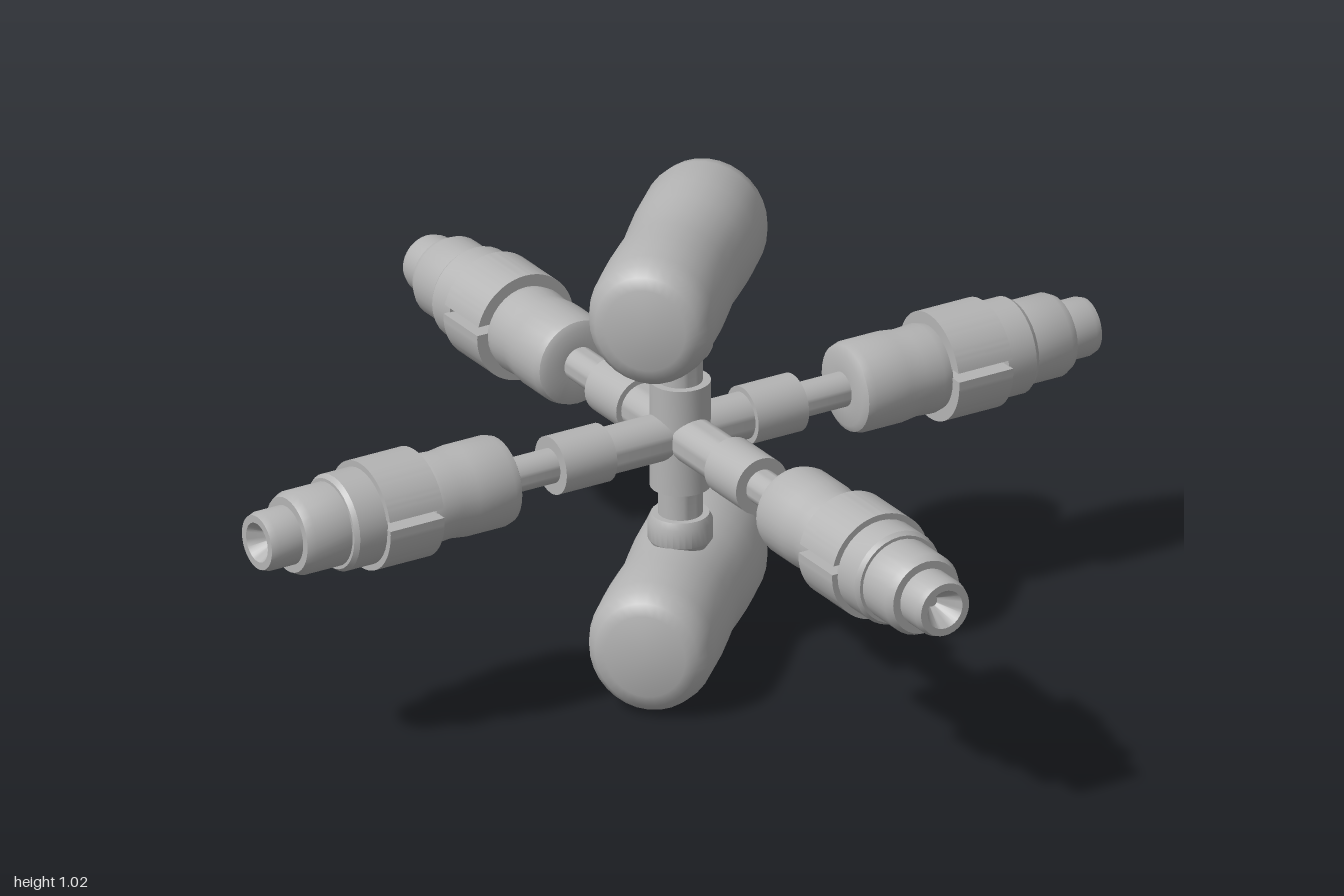
import * as THREE from 'three';
import { toCreasedNormals } from 'three/addons/utils/BufferGeometryUtils.js';

const HUB = new THREE.Vector3(0.02, 0.515, -0.022);

export function createModel() {
  const model = new THREE.Group();
  model.name = 'sixArmedStation';
  const grey = new THREE.MeshStandardMaterial({ color: 0xb4b4b4 });
  grey.name = 'plain grey';

  const add = (parent, name, geometry) => {
    const mesh = new THREE.Mesh(toCreasedNormals(geometry, 0.6), grey);
    mesh.name = name;
    parent.add(mesh);
    return mesh;
  };
  // Turned solid along +y from [radius, height] pairs
  const turned = (profile) =>
    new THREE.LatheGeometry(profile.map(([r, y]) => new THREE.Vector2(r, y)), 32);

  // Half of a split collar: a circle cut by a horizontal line, extruded along +z
  const collarHalf = (r, cutY, upper) => {
    const a = Math.asin(cutY / r);
    const shape = new THREE.Shape();
    if (upper) shape.absarc(0, 0, r, a, Math.PI - a, false);
    else shape.absarc(0, 0, r, Math.PI - a, 2 * Math.PI + a, false);
    shape.closePath();
    const g = new THREE.ExtrudeGeometry(shape, { depth: 0.13, bevelEnabled: false, curveSegments: 24 });
    return g.translate(0, 0, 0.62);
  };

  // Inner arm: tube from the hub, small collar, thin rod, rounded barrel
  const inner = [
    [0, 0], [0.05, 0], [0.05, 0.17], [0.062, 0.17], [0.062, 0.292], [0.037, 0.292],
    [0.037, 0.41], [0.078, 0.41], [0.092, 0.418], [0.097, 0.435], [0.097, 0.52],
    [0.092, 0.56], [0.095, 0.6], [0.09, 0.622], [0, 0.622],
  ];
  // Outer arm: stepped rings ending in a nozzle with a conical recess
  const outer = [
    [0, 0.748], [0.103, 0.748], [0.103, 0.815], [0.096, 0.825], [0.089, 0.825], [0.089, 0.91],
    [0.08, 0.928], [0.063, 0.928], [0.063, 0.985], [0.058, 1], [0.042, 1], [0.012, 0.95], [0, 0.95],
  ];

  for (let i = 0; i < 4; i++) {
    const arm = new THREE.Group();
    arm.name = ['frontArm', 'leftArm', 'backArm', 'rightArm'][i];
    add(arm, 'innerArm', turned(inner).rotateX(Math.PI / 2));
    add(arm, 'upperCollarHalf', collarHalf(0.116, 0.027, true));
    add(arm, 'lowerCollarHalf', collarHalf(0.116, 0.008, false));
    add(arm, 'steppedNozzle', turned(outer).rotateX(Math.PI / 2));
    arm.rotation.y = (i * Math.PI) / 2;
    arm.position.set(i % 2 ? 0 : HUB.x, HUB.y, i % 2 ? HUB.z : 0);
    model.add(arm);
  }

  // Central post with a neck and a domed flange at each end
  const post = [
    [0, 0], [0.063, 0], [0.063, 0.118], [0.046, 0.118], [0.046, 0.18], [0.06, 0.18],
    [0.067, 0.195], [0.067, 0.235], [0.05, 0.26], [0, 0.27],
  ];
  // Rounded tank with a slight waist, centred on its own axis
  const halfTank = [
    [0, 0.302], [0.09, 0.3], [0.115, 0.29], [0.133, 0.268], [0.141, 0.235],
    [0.142, 0.14], [0.139, 0.07],
  ];
  const tank = [
    ...halfTank.map(([r, y]) => [r, -y]), [0.135, 0], ...halfTank.slice().reverse(),
  ];

  for (const side of [1, -1]) {
    const name = side > 0 ? 'upper' : 'lower';
    const postMesh = add(model, name + 'Post', turned(post));
    postMesh.position.copy(HUB);
    postMesh.rotation.x = side > 0 ? 0 : Math.PI;

    const tankMesh = add(model, name + 'Tank', turned(tank).rotateZ(Math.PI / 2).scale(1, 1, 0.94));
    tankMesh.rotation.y = Math.PI / 4;
    tankMesh.position.set(0.017, side > 0 ? 0.876 : 0.142, -0.025);
  }
  return model;
}
